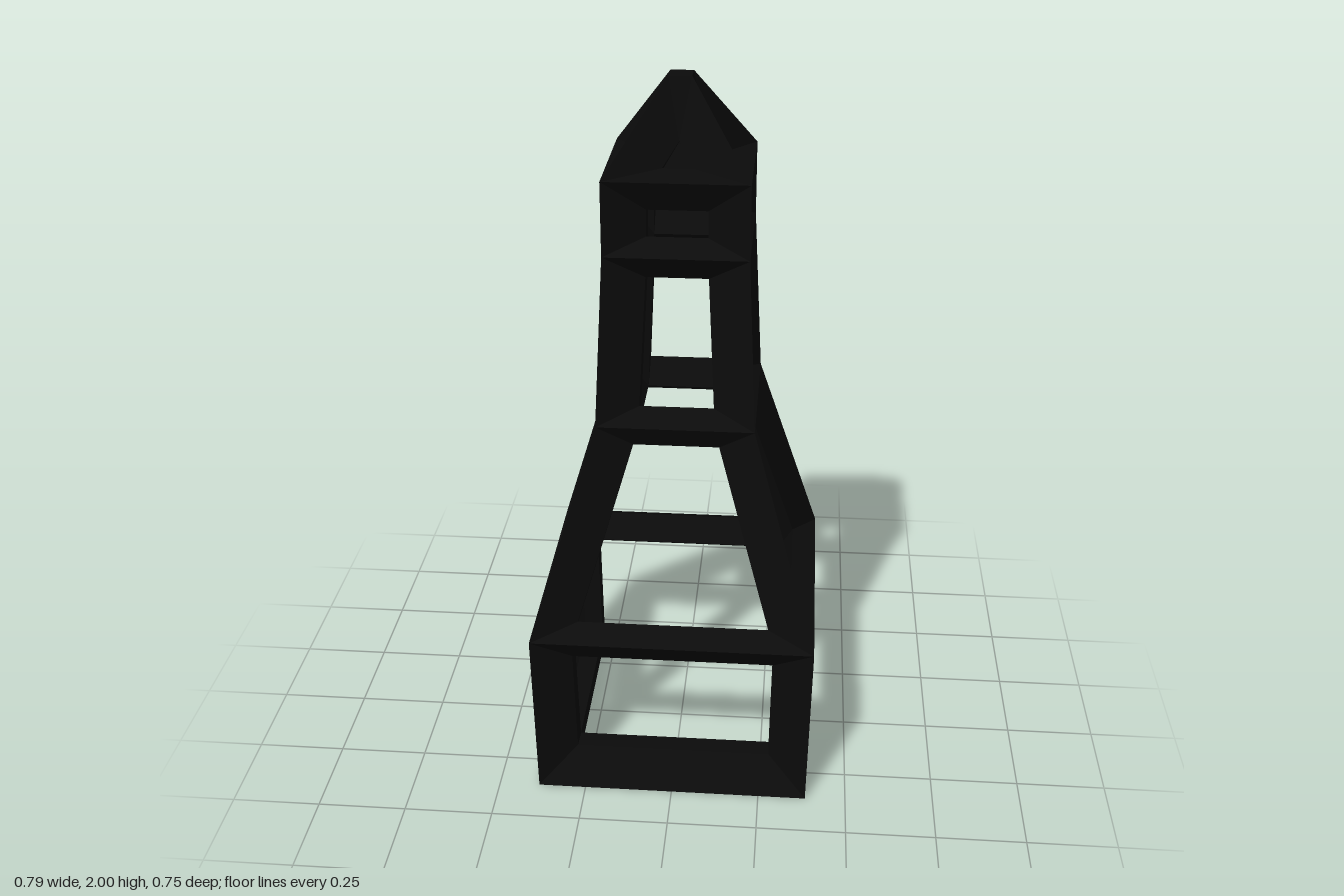
import * as THREE from 'three';

const INSET = 0.055; // width of a strut measured inside each panel

// Ring levels from ground to tip: [half x, y, half z] for the outer ridge,
// the middle surface (holding the window edges) and the inner ridge.
const LEVELS = [
  { outer: [0.385, 0, 0.365], mid: [0.33, 0.055, 0.31], inner: [0.275, 0.11, 0.255] },
  { outer: [0.393, 0.5, 0.373], mid: [0.338, 0.48, 0.318], inner: [0.283, 0.46, 0.263] },
  { outer: [0.213, 1.1, 0.222], mid: [0.158, 1.085, 0.167], inner: [0.103, 1.07, 0.112] },
  { outer: [0.19, 1.57, 0.19], mid: [0.135, 1.555, 0.135], inner: [0.08, 1.54, 0.08] },
  { outer: [0.19, 1.77, 0.19], mid: [0.135, 1.737, 0.135], inner: [0.08, 1.705, 0.08] },
  { outer: [0.03, 2, 0.03], mid: [0, 1.935, 0], inner: [0, 1.83, 0] },
];
const SIGNS = [[1, 1], [1, -1], [-1, -1], [-1, 1]];
const TIERS = ['baseFrame', 'taperedFrame', 'towerFrame', 'lanternFrame', 'roofFrame'];

const corner = (size, k) =>
  new THREE.Vector3(size[0] * SIGNS[k][0], size[1], size[2] * SIGNS[k][1]);

// Window outline: every corner moved inward by an equal distance from both edges
function insetPolygon(points) {
  const n = points.length;
  return points.map((p, i) => {
    const a = points[(i + n - 1) % n].clone().sub(p).normalize();
    const b = points[(i + 1) % n].clone().sub(p).normalize();
    const reach = INSET / Math.sin(a.angleTo(b));
    return p.clone().addScaledVector(a.add(b), reach);
  });
}

function addTriangle(out, a, b, c) {
  const area = b.clone().sub(a).cross(c.clone().sub(a)).length();
  if (area > 1e-8) for (const p of [a, b, c]) out.push(p.x, p.y, p.z);
}

function addQuad(out, a, b, c, d) {
  addTriangle(out, a, b, c);
  addTriangle(out, a, c, d);
}

// Panel frame: slopes from the outer ridges to the window and back to the inner ridges
function addFrame(out, outer, win, inner) {
  for (let i = 0; i < 4; i++) {
    const j = (i + 1) % 4;
    addQuad(out, outer[i], outer[j], win[j], win[i]);
    addQuad(out, win[i], win[j], inner[j], inner[i]);
  }
}

// Four panels around one tier
function tierPositions(low, high) {
  const out = [];
  for (let k = 0; k < 4; k++) {
    const l = (k + 3) % 4;
    const ring = (key) => [
      corner(low[key], l), corner(low[key], k), corner(high[key], k), corner(high[key], l),
    ];
    const mid = ring('mid');
    const pointed = high.mid[0] === 0;
    const win = insetPolygon(pointed ? mid.slice(0, 3) : mid);
    if (pointed) win.push(win[2]);
    addFrame(out, ring('outer'), win, ring('inner'));
  }
  return out;
}

export function createModel() {
  const group = new THREE.Group();
  const material = new THREE.MeshStandardMaterial({ color: 0x0b0b0b, flatShading: true });
  const addMesh = (name, positions) => {
    const geometry = new THREE.BufferGeometry();
    geometry.setAttribute('position', new THREE.Float32BufferAttribute(positions, 3));
    geometry.computeVertexNormals();
    const mesh = new THREE.Mesh(geometry, material);
    mesh.name = name;
    group.add(mesh);
  };

  // Stacked tiers
  TIERS.forEach((name, i) => addMesh(name, tierPositions(LEVELS[i], LEVELS[i + 1])));

  // Ground ring, open in the middle
  const ground = [];
  const ring = (key) => [3, 2, 1, 0].map((k) => corner(LEVELS[0][key], k));
  addFrame(ground, ring('outer'), insetPolygon(ring('mid')), ring('inner'));
  addMesh('groundRing', ground);

  // Small flat cap on the tip
  const cap = [];
  addQuad(cap, ...[0, 1, 2, 3].map((k) => corner(LEVELS[5].outer, k)));
  addMesh('tipCap', cap);

  return group;
}
